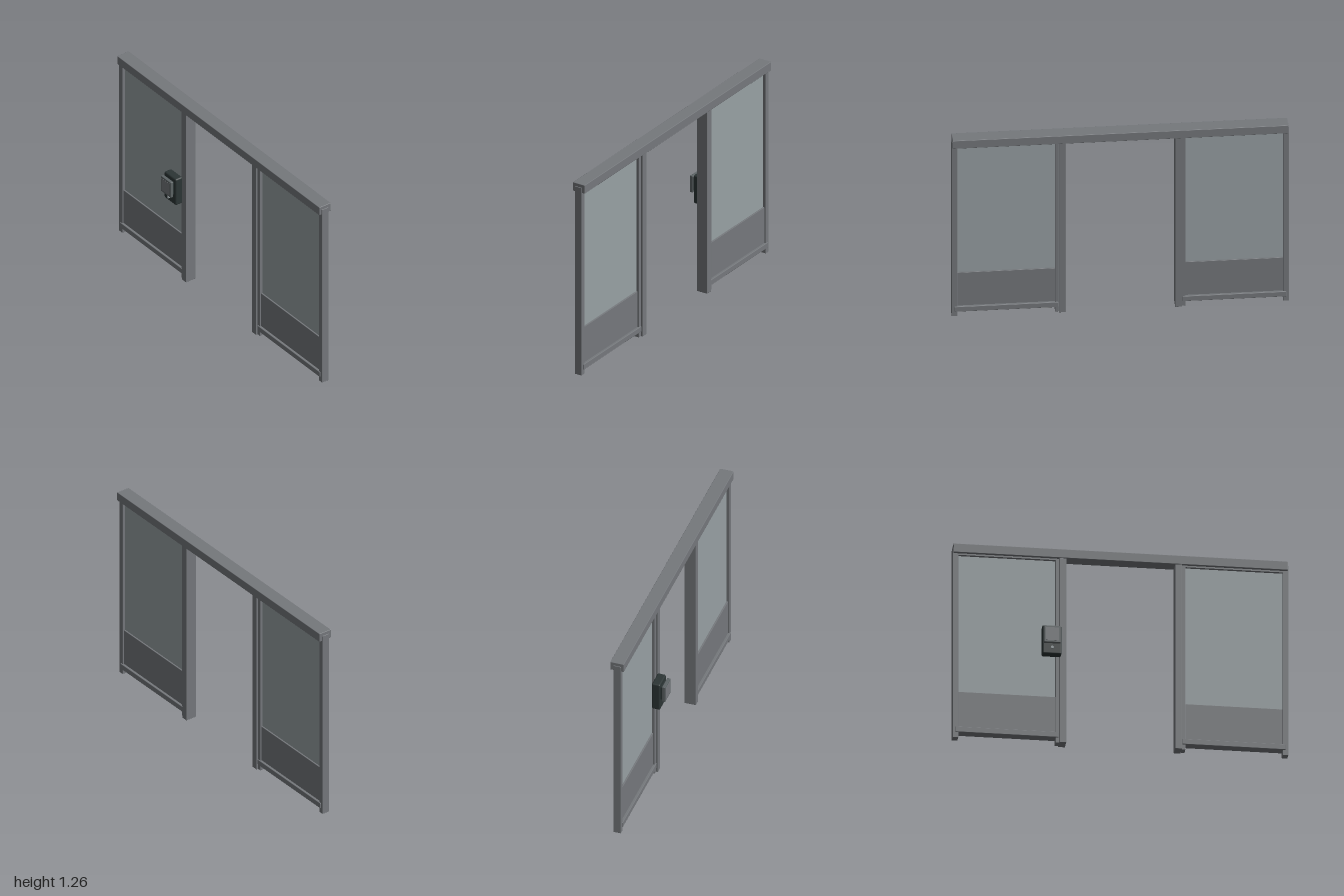
import * as THREE from 'three';
import { RoundedBoxGeometry } from 'three/addons/geometries/RoundedBoxGeometry.js';

const material = (name, color) => {
  const m = new THREE.MeshStandardMaterial({ color });
  m.name = name;
  return m;
};

export function createModel() {
  const frame = material('grey metal', 0x75787c);
  const glass = material('pale glass', 0x98a1a4);
  const dark = material('dark casing', 0x2c3535);
  const screen = material('screen grey', 0x5d6466);

  // Box given by its extents on each axis, optionally with rounded edges
  const block = (parent, name, mat, x, y, z, radius = 0) => {
    const size = [x, y, z].map(([a, b]) => Math.abs(b - a));
    const geometry = radius
      ? new RoundedBoxGeometry(...size, 2, radius)
      : new THREE.BoxGeometry(...size);
    const mesh = new THREE.Mesh(geometry, mat);
    mesh.position.set(...[x, y, z].map(([a, b]) => (a + b) / 2));
    mesh.name = name;
    parent.add(mesh);
    return mesh;
  };

  const model = new THREE.Group();
  model.name = 'slidingDoorway';

  // Header beam over the whole opening
  block(model, 'header', frame, [-0.996, 0.996], [1.2, 1.256], [-0.08, 0.005], 0.003);

  // Two mirrored glazed side panels
  for (const side of [-1, 1]) {
    const panel = new THREE.Group();
    panel.name = side > 0 ? 'leftPanel' : 'rightPanel';
    const add = (name, mat, [a, b], y, z, r) =>
      block(panel, name, mat, [side * a, side * b], y, z, r);

    add('outerPost', frame, [0.966, 1], [0, 1.235], [-0.06, -0.012], 0.002);
    add('innerPost', frame, [0.324, 0.365], [0, 1.2], [-0.072, 0], 0.002);
    add('innerStile', frame, [0.364, 0.387], [0, 1.2], [-0.06, -0.012], 0.002);
    add('bottomRail', frame, [0.368, 0.984], [0.034, 0.069], [-0.066, -0.006], 0.003);
    add('topRail', frame, [0.38, 0.97], [1.19, 1.205], [-0.06, -0.012]);
    add('kickPanel', frame, [0.386, 0.967], [0.065, 0.302], [-0.051, -0.021], 0.002);
    add('glassPane', glass, [0.38, 0.972], [0.29, 1.2], [-0.042, -0.03]);
    model.add(panel);
  }

  // Access reader beside the opening
  const reader = new THREE.Group();
  reader.name = 'accessReader';
  block(reader, 'readerCase', dark, [-0.473, -0.358], [0.55, 0.735], [-0.002, 0.05], 0.009);
  block(reader, 'screenMount', dark, [-0.458, -0.377], [0.622, 0.71], [0.045, 0.064]);
  block(reader, 'screenBezel', screen, [-0.466, -0.368], [0.612, 0.72], [0.06, 0.08], 0.003);
  block(reader, 'screenFace', frame, [-0.455, -0.379], [0.624, 0.708], [0.077, 0.0815]);

  // Knob on a short stem
  const knob = (name, mat, radius, z0, z1) => {
    const mesh = new THREE.Mesh(new THREE.CylinderGeometry(radius, radius, z1 - z0, 16), mat);
    mesh.rotation.x = Math.PI / 2;
    mesh.position.set(-0.416, 0.587, (z0 + z1) / 2);
    mesh.name = name;
    reader.add(mesh);
  };
  knob('knobStem', dark, 0.005, 0.048, 0.06);
  knob('knob', glass, 0.009, 0.056, 0.066);
  model.add(reader);

  return model;
}
